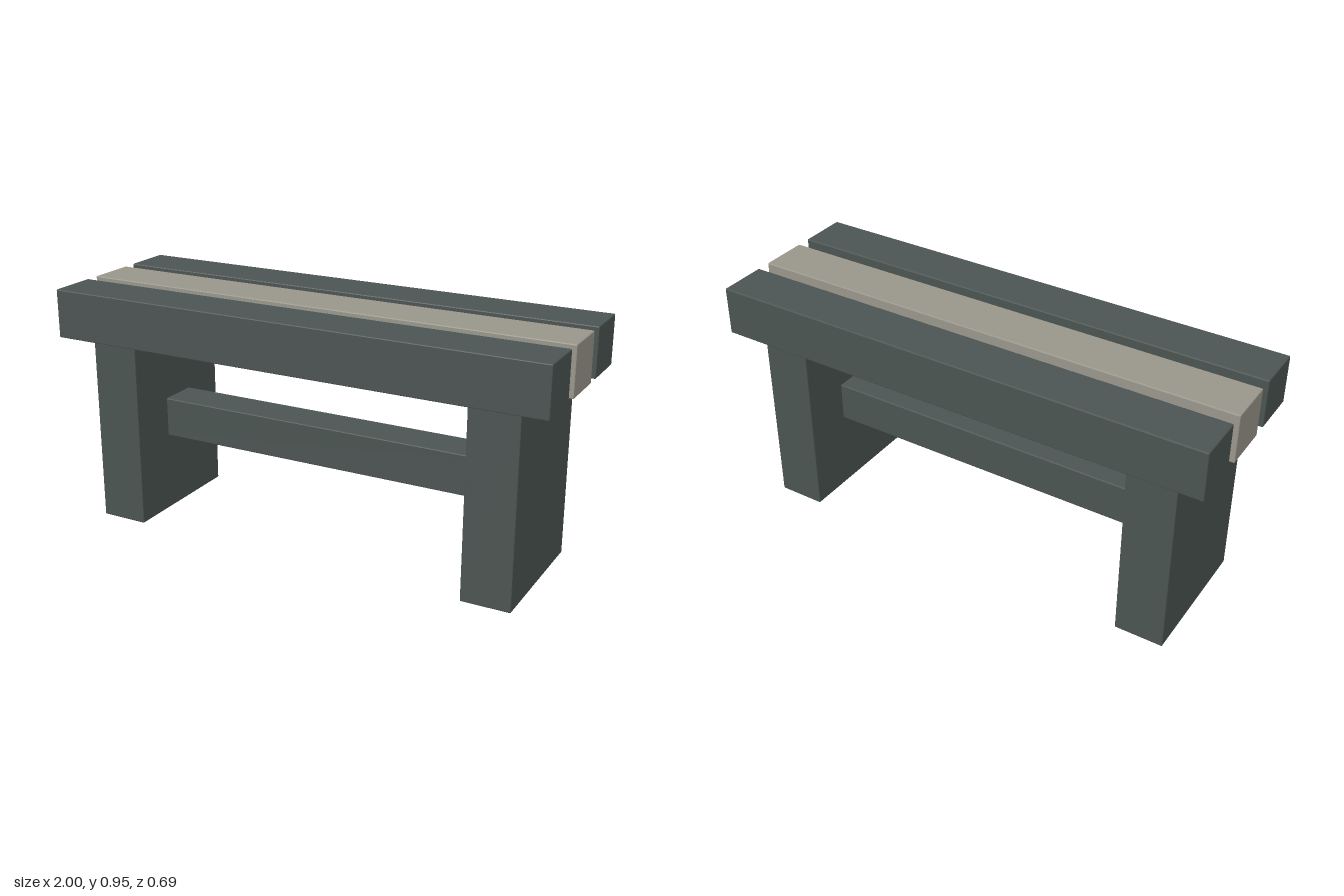
import * as THREE from 'three';
import { RoundedBoxGeometry } from 'three/addons/geometries/RoundedBoxGeometry.js';

const BEVEL = 0.004;

export function createModel() {
  const bench = new THREE.Group();
  bench.name = 'bench';

  const darkWood = new THREE.MeshStandardMaterial({ color: 0x4b5452 });
  darkWood.name = 'dark slate wood';
  const paleWood = new THREE.MeshStandardMaterial({ color: 0x98968b });
  paleWood.name = 'pale grey wood';

  // Beam with a small flat chamfer, placed by its centre
  function beam(name, material, size, position) {
    const geometry = new RoundedBoxGeometry(...size, 1, BEVEL);
    geometry.computeVertexNormals();
    const mesh = new THREE.Mesh(geometry, material);
    mesh.name = name;
    mesh.position.set(...position);
    bench.add(mesh);
  }

  // Three seat beams, the middle one pale
  const seatSize = [2, 0.193, 0.193];
  beam('frontSeatBeam', darkWood, seatSize, [0, 0.854, 0.246]);
  beam('middleSeatBeam', paleWood, seatSize, [0, 0.854, 0]);
  beam('backSeatBeam', darkWood, seatSize, [0, 0.854, -0.246]);

  // Slab legs, let into the underside of the seat beams
  for (const [name, side] of [['leftLeg', 1], ['rightLeg', -1]]) {
    beam(name, darkWood, [0.193, 0.818, 0.554], [side * 0.787, 0.409, 0]);
  }

  // Stretcher between the legs
  beam('stretcher', darkWood, [1.42, 0.16, 0.16], [0, 0.396, 0]);

  return bench;
}
